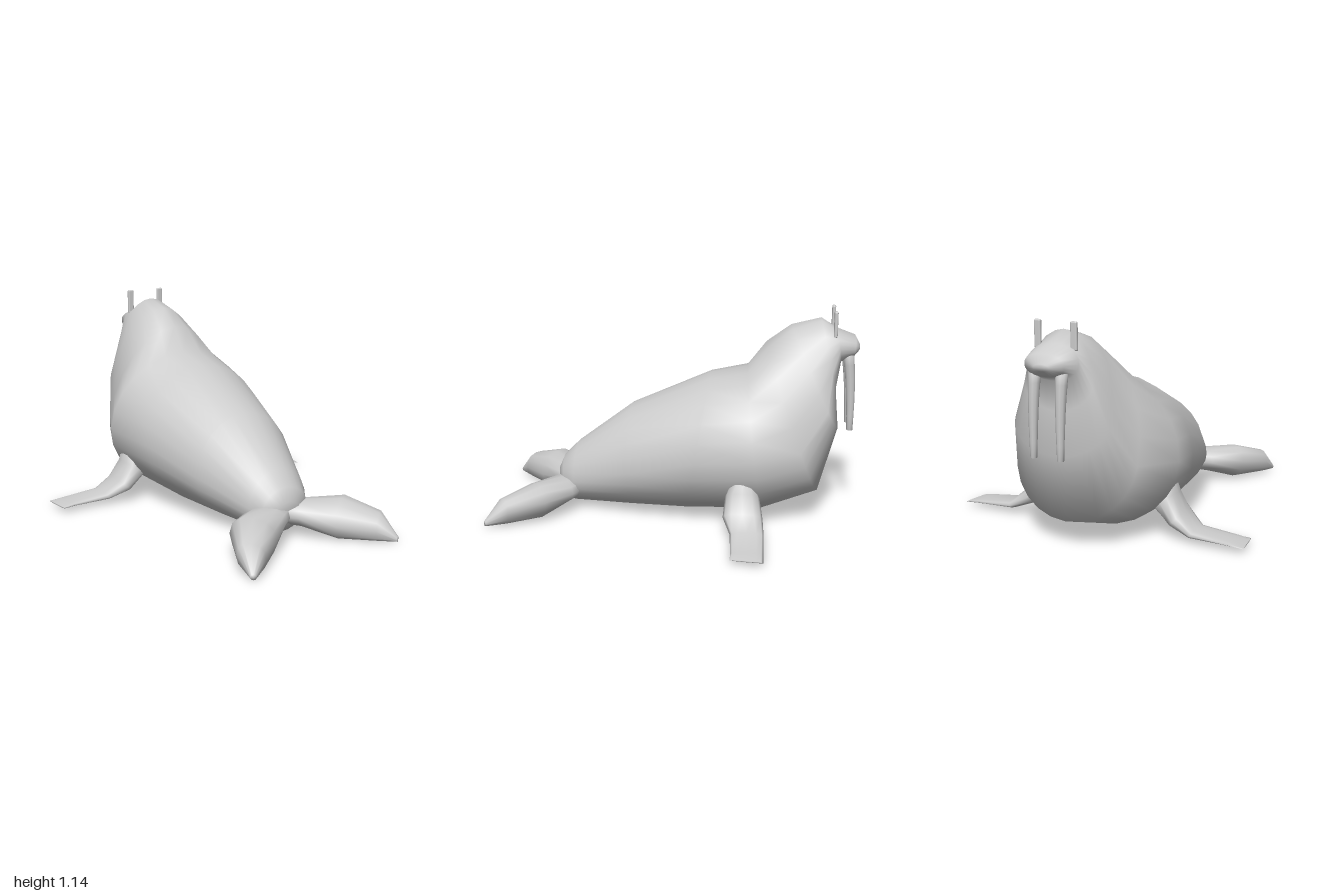
import * as THREE from 'three';
import { RoundedBoxGeometry } from 'three/addons/geometries/RoundedBoxGeometry.js';

const material = new THREE.MeshStandardMaterial({ color: 0xcccccc, roughness: 0.8 });
const V = (x, y, z) => new THREE.Vector3(x, y, z);

// Skins a closed smooth surface over rings of { c, side, up, down, n }.
// side x up points along the loft; n is the squareness (2 = ellipse).
function loft(name, rings, sides) {
  const pos = [], index = [];
  for (const { c, side, up, down, n = 2 } of rings) {
    for (let j = 0; j < sides; j++) {
      const a = (j / sides) * Math.PI * 2;
      const bend = (t) => Math.sign(t) * Math.pow(Math.abs(t), 2 / n);
      const s = bend(Math.cos(a)), t = bend(Math.sin(a));
      const p = c.clone().addScaledVector(side, s).addScaledVector(t > 0 ? up : down, Math.abs(t));
      pos.push(p.x, p.y, p.z);
    }
  }
  const last = rings.length - 1, startCap = rings.length * sides;
  for (const r of [rings[0], rings[last]]) pos.push(r.c.x, r.c.y, r.c.z);
  for (let j = 0; j < sides; j++) {
    const k = (j + 1) % sides;
    for (let i = 0; i < last; i++) {
      const a = i * sides + j, b = i * sides + k;
      index.push(a, b, b + sides, a, b + sides, a + sides);
    }
    index.push(startCap, k, j, startCap + 1, last * sides + j, last * sides + k);
  }
  const geometry = new THREE.BufferGeometry();
  geometry.setAttribute('position', new THREE.Float32BufferAttribute(pos, 3));
  geometry.setIndex(index);
  geometry.computeVertexNormals();
  const mesh = new THREE.Mesh(geometry, material);
  mesh.name = name;
  return mesh;
}

// Mirrors a ring across x = 0, keeping its winding outward.
const mirrorRing = ({ c, side, up, down, n }) => {
  const flip = (v) => V(-v.x, v.y, v.z);
  return { c: flip(c), side: flip(side).negate(), up: flip(up), down: flip(down), n };
};

function createBody() {
  // top z, top y, bottom z, bottom y, half width, height of widest point, squareness
  const sections = [
    [0.66, 0.22, 0.64, 0.09, 0.07, 0.5, 2],
    [0.63, 0.29, 0.6, 0.04, 0.14, 0.5, 2],
    [0.55, 0.37, 0.56, 0.03, 0.18, 0.45, 2],
    [0.24, 0.6, 0.24, 0.025, 0.3, 0.45, 2],
    [-0.2, 0.79, -0.08, 0.02, 0.395, 0.47, 2],
    [-0.4, 0.83, -0.5, 0.04, 0.457, 0.48, 2],
    [-0.5, 0.97, -0.8, 0.14, 0.345, 0.36, 2],
    [-0.63, 1.065, -0.9, 0.5, 0.265, 0.26, 1.9],
    [-0.79, 1.105, -0.88, 0.72, 0.19, 0.32, 1.9],
    [-0.88, 1.045, -0.9, 0.87, 0.14, 0.5, 2.2],
    [-0.975, 1.01, -0.965, 0.9, 0.11, 0.5, 2.3],
    [-1.0, 0.965, -0.995, 0.93, 0.045, 0.5, 2],
  ];
  const rings = sections.map(([tz, ty, bz, by, w, f, n]) => {
    const top = V(0, ty, tz), bottom = V(0, by, bz);
    const c = bottom.clone().lerp(top, f);
    return { c, side: V(-w, 0, 0), up: top.sub(c), down: bottom.sub(c), n };
  });
  return loft('body', rings, 24);
}

// Front flipper: drops from the shoulder, then lies flat and points outward.
const frontFlipperRings = [
  // x, y, z, half width, top offset x, top offset y
  [0.34, 0.34, -0.4, 0.05, 0.05, 0.03],
  [0.36, 0.2, -0.39, 0.09, 0.065, 0.04],
  [0.44, 0.11, -0.395, 0.105, 0.035, 0.035],
  [0.54, 0.055, -0.42, 0.088, 0.012, 0.02],
  [0.75, 0.043, -0.425, 0.083, 0, 0.009],
  [0.82, 0.037, -0.425, 0.083, 0, 0.003],
].map(([x, y, z, w, ux, uy]) => ({
  c: V(x, y, z), side: V(x > 0.8 ? 0.01 : 0, 0, -w), up: V(ux, uy, 0), down: V(-ux, -uy, 0), n: 2.4,
}));

// Rear flipper: a thick blade spreading back and outward, webbed to its twin at the root.
const rearFlipperRings = [
  // x, y, z, half width, half thickness, outward tilt, squareness
  [0.03, 0.14, 0.56, 0.11, 0.06, 0, 2],
  [0.13, 0.13, 0.62, 0.12, 0.07, 0, 2],
  [0.28, 0.11, 0.74, 0.118, 0.1, 0.02, 2.3],
  [0.4, 0.085, 0.9, 0.07, 0.07, 0.01, 2.6],
  [0.45, 0.03, 0.99, 0.015, 0.014, 0, 2],
].map(([x, y, z, w, t, tilt, n]) => ({
  c: V(x, y, z), side: V(w * 0.8, tilt, -w * 0.6), up: V(0, t, 0), down: V(0, -t, 0), n,
}));

function createTusk(side) {
  const curve = new THREE.CatmullRomCurve3([
    V(0, 0.93, -0.935), V(0, 0.8, -0.95), V(0, 0.65, -0.958), V(0, 0.5, -0.96),
  ]);
  const rings = [];
  for (let i = 0; i <= 6; i++) {
    const r = 0.032 - 0.0025 * i;
    rings.push({
      c: curve.getPoint(i / 6).setX(side * 0.075),
      side: V(r, 0, 0), up: V(0, 0, r), down: V(0, 0, -r),
    });
  }
  return loft('tusk', rings, 10);
}

function createEyeStalk(side) {
  const mesh = new THREE.Mesh(new RoundedBoxGeometry(0.036, 0.14, 0.02, 2, 0.008), material);
  mesh.name = 'eyeStalk';
  mesh.position.set(side * 0.1, 1.085, -0.862);
  return mesh;
}

export function createModel() {
  const model = new THREE.Group();
  model.name = 'walrus';
  model.add(createBody());
  for (const side of [1, -1]) {
    const label = side > 0 ? 'left' : 'right';
    const place = (rings) => (side > 0 ? rings : rings.map(mirrorRing));
    model.add(
      loft(label + 'FrontFlipper', place(frontFlipperRings), 12),
      loft(label + 'RearFlipper', place(rearFlipperRings), 12),
      createTusk(side),
      createEyeStalk(side),
    );
  }
  return model;
}
